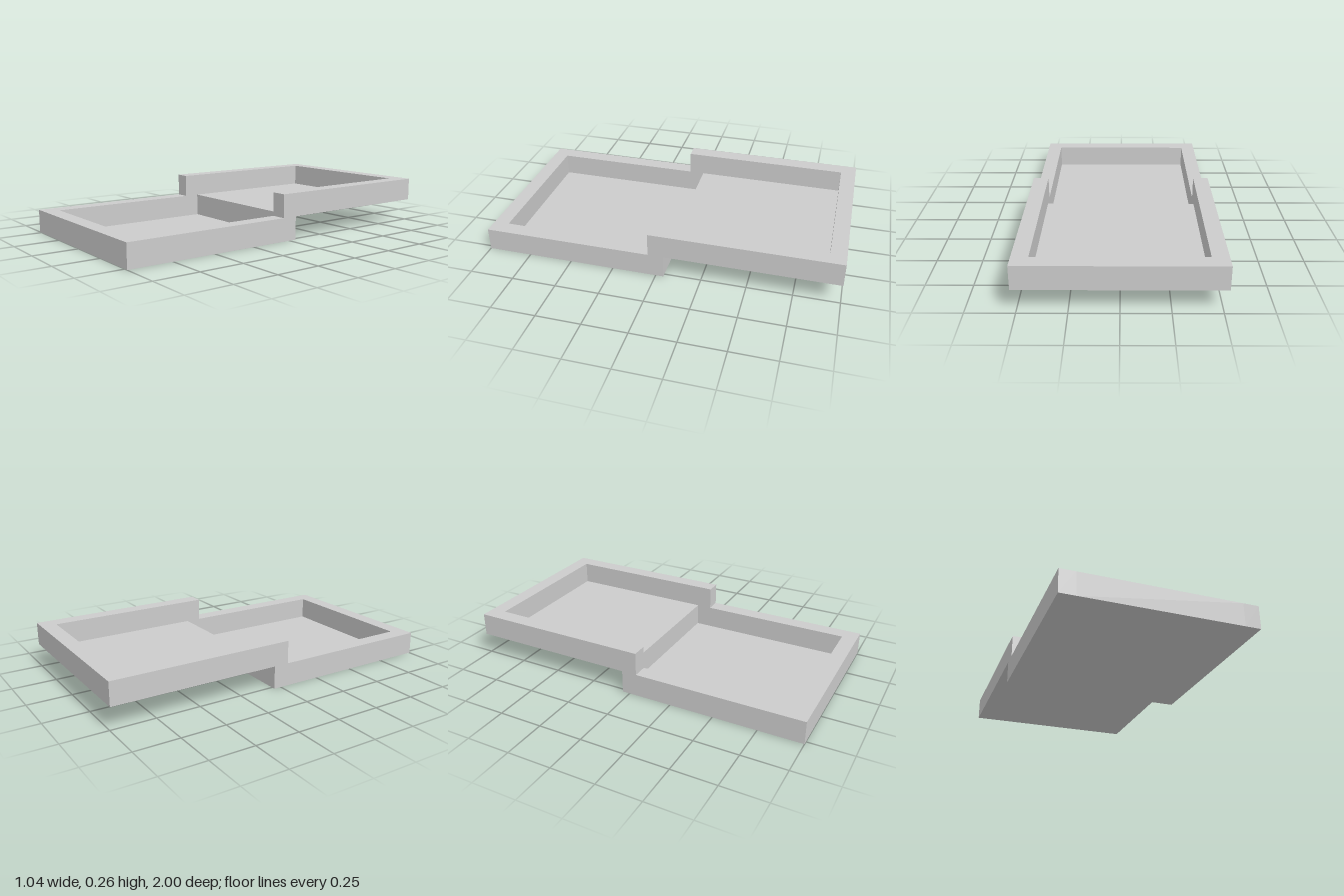
import * as THREE from 'three';

const U = 2 / 23;          // wall thickness
const H = 1.5 * U;         // height of one level
const HALF_W = 6 * U;      // half of the outer width
const STEP = U / 2;        // half the overlap of the two levels
const INNER_W = 2 * (HALF_W - U);

export function createModel() {
  const group = new THREE.Group();
  const grey = new THREE.MeshStandardMaterial({ color: 0xcccccc });
  const sheet = new THREE.MeshStandardMaterial({ color: 0xcccccc, side: THREE.DoubleSide });

  const add = (name, geometry, material, x, y, z) => {
    const mesh = new THREE.Mesh(geometry, material);
    mesh.name = name;
    mesh.position.set(x, y, z);
    group.add(mesh);
  };

  // Stepped side walls, profile drawn as (z, y)
  const profile = new THREE.Shape([
    [-STEP, 0], [1, 0], [1, H], [STEP, H],
    [STEP, 2 * H], [-1, 2 * H], [-1, H], [-STEP, H],
  ].map(([z, y]) => new THREE.Vector2(z, y)));
  const side = new THREE.ExtrudeGeometry(profile, { depth: U, bevelEnabled: false });
  side.rotateY(-Math.PI / 2);
  add('leftWall', side, grey, HALF_W, 0, 0);
  add('rightWall', side, grey, -HALF_W + U, 0, 0);

  // End walls between the sides
  const end = new THREE.BoxGeometry(INNER_W, H, U);
  add('frontWall', end, grey, 0, H / 2, 1 - U / 2);
  add('backWall', end, grey, 0, 1.5 * H, -1 + U / 2);

  // Thin floors of both levels and the riser joining them
  const floorLength = 1 - U + STEP;
  const lower = new THREE.PlaneGeometry(INNER_W, floorLength).rotateX(-Math.PI / 2);
  add('lowerFloor', lower, sheet, 0, 0, -STEP + floorLength / 2);
  const upperLength = 1 - U - STEP;
  const upper = new THREE.PlaneGeometry(INNER_W, upperLength).rotateX(-Math.PI / 2);
  add('upperFloor', upper, sheet, 0, H, -STEP - upperLength / 2);
  add('riser', new THREE.PlaneGeometry(INNER_W, H), sheet, 0, H / 2, -STEP);

  return group;
}
